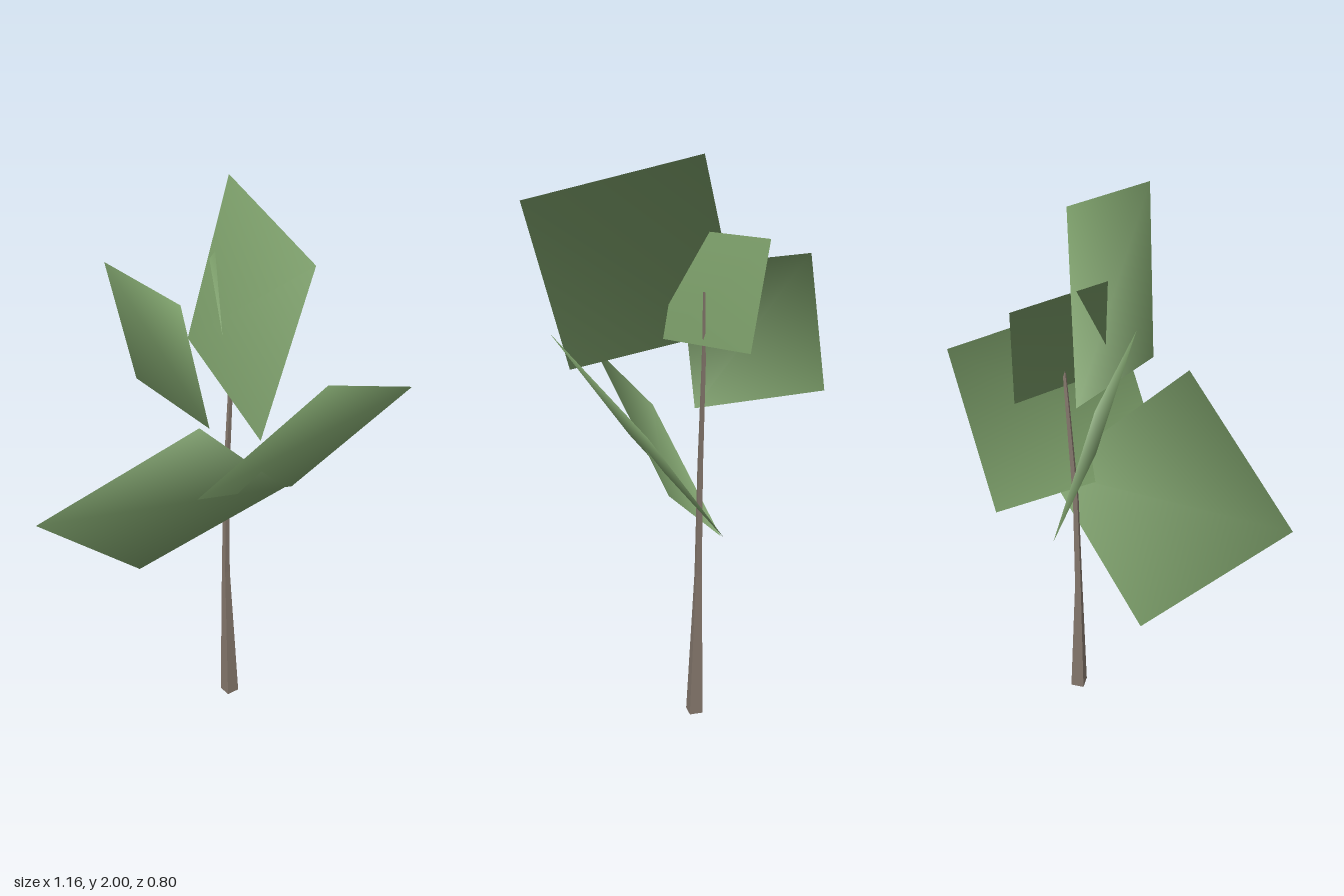
import * as THREE from 'three';

const leafGreen = new THREE.MeshStandardMaterial({ color: 0x7a9c68, side: THREE.DoubleSide });
leafGreen.name = 'leafGreen';
const barkBrown = new THREE.MeshStandardMaterial({ color: 0x83766b, flatShading: true, side: THREE.DoubleSide });
barkBrown.name = 'barkBrown';

// Middle of the foliage: leaf normals point away from it for soft shading
const crownCentre = new THREE.Vector3(-0.032, 1.2, -0.128);

// Flat four-cornered leaf: the tip corner and its two neighbours fix the parallelogram
function makeLeaf(tip, nextA, nextB) {
  const p = new THREE.Vector3(...tip);
  const a = new THREE.Vector3(...nextA).sub(p);
  const b = new THREE.Vector3(...nextB).sub(p);
  const geometry = new THREE.PlaneGeometry(1, 1);
  const pos = geometry.attributes.position;
  const normal = geometry.attributes.normal;
  for (let i = 0; i < pos.count; i++) {
    const v = p.clone()
      .addScaledVector(a, pos.getX(i) + 0.5)
      .addScaledVector(b, pos.getY(i) + 0.5);
    pos.setXYZ(i, v.x, v.y, v.z);
    v.sub(crownCentre).normalize();
    normal.setXYZ(i, v.x, v.y, v.z);
  }
  return new THREE.Mesh(geometry, leafGreen);
}

// Four-sided stem that follows [x, y, z, radius] stations
function makeStem(stations) {
  const rows = stations.length - 1;
  const geometry = new THREE.CylinderGeometry(1, 1, 1, 4, rows, true);
  const pos = geometry.attributes.position;
  for (let i = 0; i < pos.count; i++) {
    const [x, y, z, r] = stations[Math.round((pos.getY(i) + 0.5) * rows)];
    pos.setXYZ(i, x + pos.getX(i) * r, y, z + pos.getZ(i) * r);
  }
  geometry.computeVertexNormals();
  return new THREE.Mesh(geometry, barkBrown);
}

export function createModel() {
  const model = new THREE.Group();
  model.name = 'sapling';

  const stem = makeStem([
    [-0.04, 0, -0.102, 0.035],
    [-0.053, 0.55, -0.105, 0.015],
    [-0.05, 0.95, -0.11, 0.011],
    [-0.035, 1.33, -0.127, 0.008],
    [-0.018, 1.57, -0.135, 0.004],
  ]);
  stem.name = 'stem';
  model.add(stem);

  // Leaves: tip corner, then its two neighbouring corners (anticlockwise from outside)
  const leaves = {
    topLeaf: [[0.28, 1.86, 0.365], [-0.04, 2, -0.12], [0.125, 1.29, 0.302]],
    frontLeaf: [[-0.585, 0.98, 0.395], [-0.365, 0.57, -0.035], [-0.06, 1.33, 0.325]],
    leftLeaf: [[0.58, 1.26, -0.28], [0.32, 1.46, 0.24], [0.165, 0.815, -0.315]],
    rightLeaf: [[-0.51, 1.65, -0.3], [-0.44, 1.18, -0.4], [-0.17, 1.62, 0.04]],
    backLeaf: [[-0.085, 1.745, -0.335], [-0.085, 1.76, -0.01], [-0.02, 1.385, -0.305]],
  };
  for (const [name, corners] of Object.entries(leaves)) {
    const leaf = makeLeaf(...corners);
    leaf.name = name;
    model.add(leaf);
  }
  return model;
}
